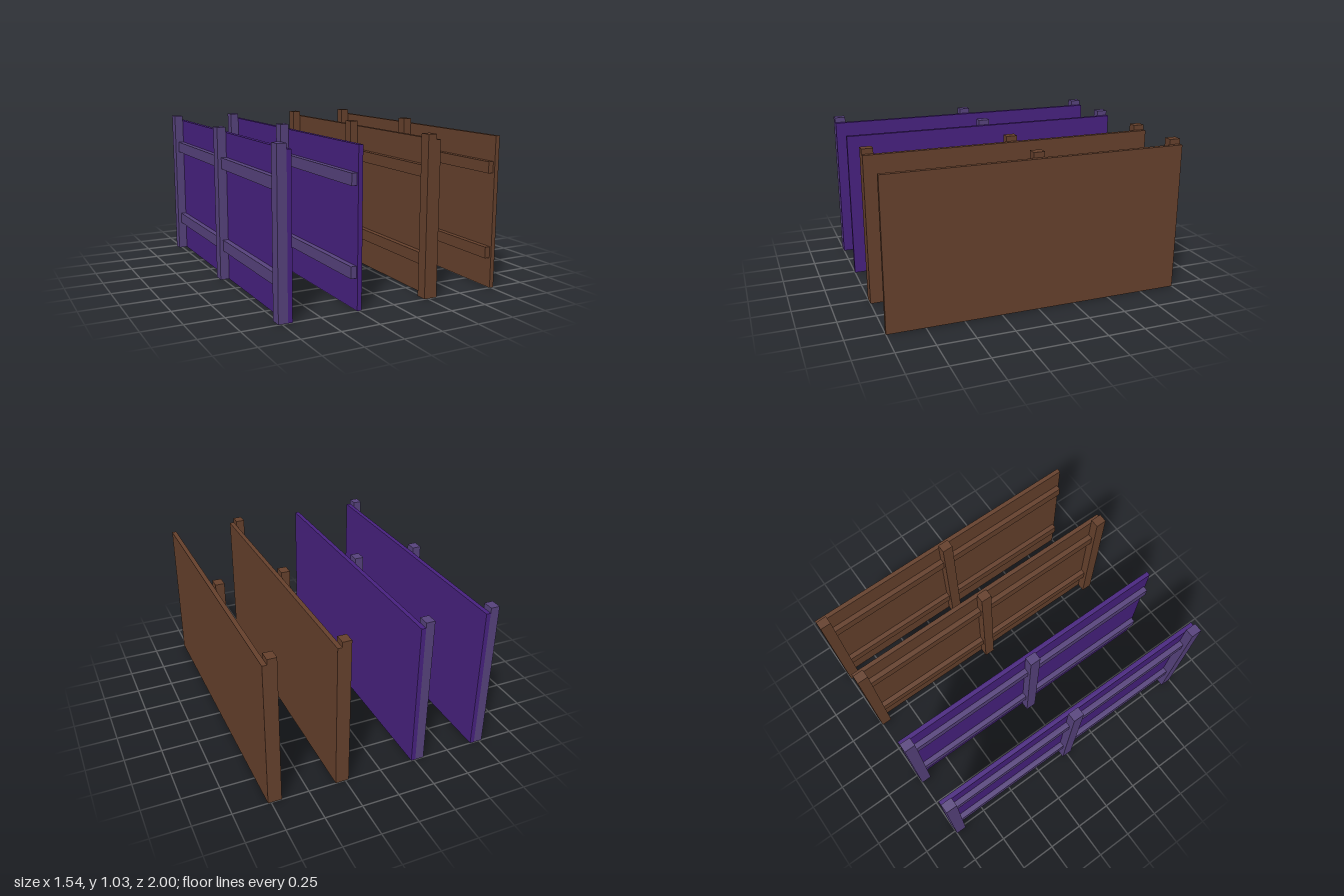
import * as THREE from 'three';

const material = (name, color) => {
  const m = new THREE.MeshStandardMaterial({ color });
  m.name = name;
  return m;
};

// Box given by its minimum and maximum corners
function addBox(group, name, mat, [x0, y0, z0], [x1, y1, z1]) {
  const mesh = new THREE.Mesh(new THREE.BoxGeometry(x1 - x0, y1 - y0, z1 - z0), mat);
  mesh.position.set((x0 + x1) / 2, (y0 + y1) / 2, (z0 + z1) / 2);
  mesh.name = name;
  group.add(mesh);
}

const POST = 0.06, RAIL = 0.036, BOARD = 0.03;

// One fence section: board on the +x side, posts and rails on the -x side
function createFence(name, x, boardMat, frameMat, hasFrontPost) {
  const fence = new THREE.Group();
  fence.name = name;
  fence.position.x = x;

  addBox(fence, 'board', boardMat, [POST, 0, -1], [POST + BOARD, 1, 1]);

  // Upright posts, the front one left out on extension sections
  const posts = [['backPost', -1], ['middlePost', -0.038]];
  if (hasFrontPost) posts.push(['frontPost', 0.925]);
  for (const [postName, z] of posts) {
    addBox(fence, postName, frameMat, [0, 0, z], [POST, 1.035, z + 0.075]);
  }

  // Horizontal rails
  for (const [railName, y] of [['lowerRail', 0.2], ['upperRail', 0.76]]) {
    addBox(fence, railName, frameMat, [POST - RAIL, y, -0.985], [POST, y + 0.075, 0.985]);
  }
  return fence;
}

export function createModel() {
  const purple = material('purple board', 0x47217f);
  const mutedPurple = material('muted purple frame', 0x56427c);
  const brown = material('brown wood', 0x65402c);

  const model = new THREE.Group();
  model.name = 'fenceSections';
  model.add(
    createFence('purpleFence', -0.772, purple, mutedPurple, true),
    createFence('purpleFenceExtension', -0.318, purple, mutedPurple, false),
    createFence('brownFence', 0.226, brown, brown, true),
    createFence('brownFenceExtension', 0.68, brown, brown, false),
  );
  return model;
}
